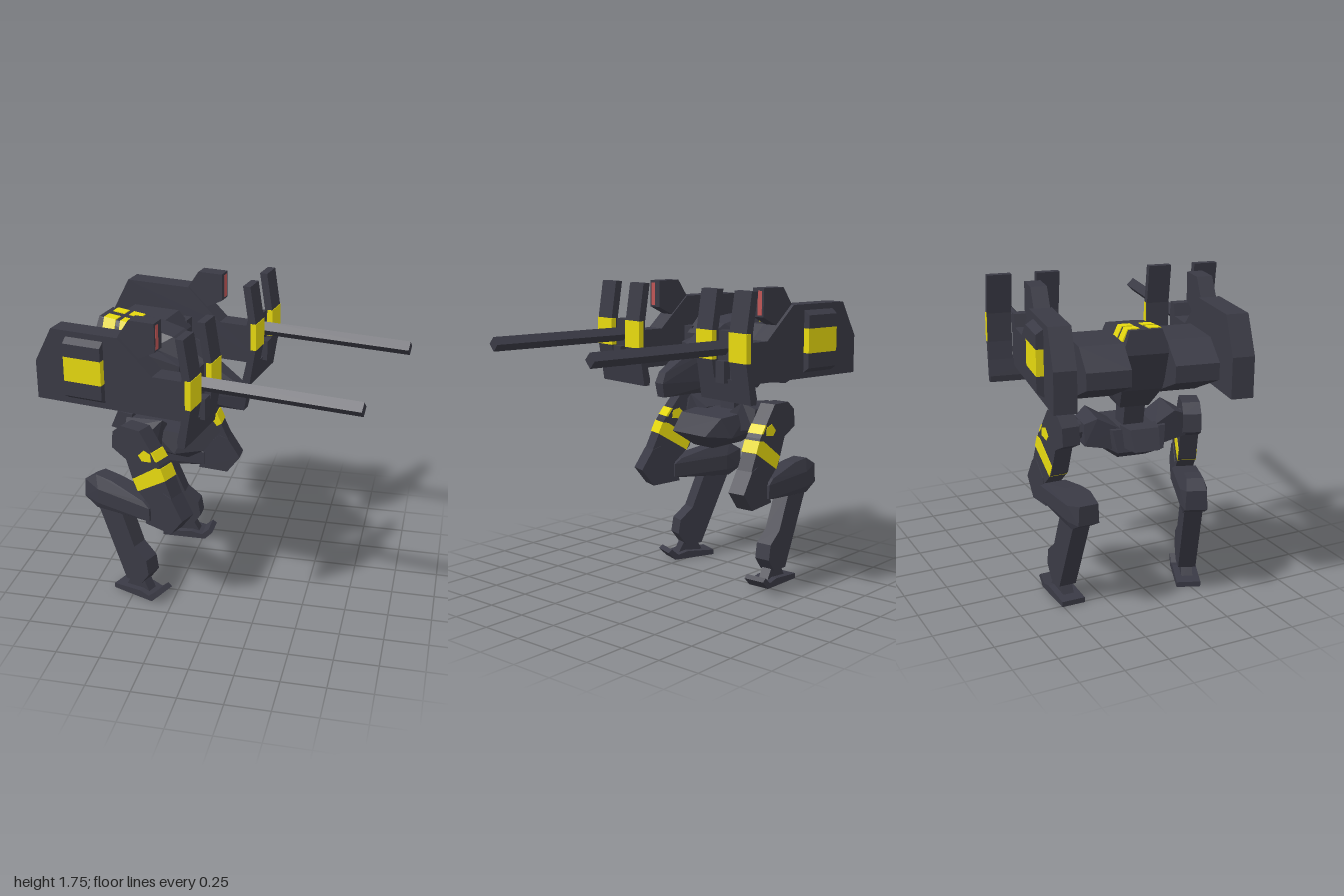
import * as THREE from 'three';
import { ConvexGeometry } from 'three/addons/geometries/ConvexGeometry.js';

const mat = (name, color) => {
  const m = new THREE.MeshStandardMaterial({ color });
  m.name = name;
  return m;
};

export function createModel() {
  const dark = mat('dark armour', 0x3a3a45);
  const yellow = mat('yellow marking', 0xf2e410);
  const red = mat('red lens', 0xc05555);

  const add = (parent, name, geo, material = dark) => {
    const m = new THREE.Mesh(geo, material);
    m.name = name;
    parent.add(m);
    return m;
  };
  const group = (parent, name, x = 0, z = 0, yaw = 0) => {
    const g = new THREE.Group();
    g.name = name;
    g.position.set(x, 0, z);
    g.rotation.y = -yaw;
    parent.add(g);
    return g;
  };
  // Side profile [forward, up] extruded sideways between z0 and z1
  const prism = (parent, name, pts, z0, z1, material) => {
    const shape = new THREE.Shape(pts.map(p => new THREE.Vector2(p[0], p[1])));
    const geo = new THREE.ExtrudeGeometry(shape, { depth: Math.abs(z1 - z0), bevelEnabled: false });
    geo.translate(0, 0, Math.min(z0, z1));
    return add(parent, name, geo, material);
  };
  const box = (parent, name, x0, x1, y0, y1, z0, z1, material) =>
    prism(parent, name, [[x0, y0], [x1, y0], [x1, y1], [x0, y1]], z0, z1, material);
  // Faceted solid around corner points
  const solid = (parent, name, pts, material) =>
    add(parent, name, new ConvexGeometry(pts.map(p => new THREE.Vector3(...p))), material);
  // Same, with corners mirrored across the centre plane
  const solidSym = (parent, name, pts) =>
    solid(parent, name, pts.flatMap(([x, y, z]) => [[x, y, z], [x, y, -z]]));
  // Flat-sided rod along y
  const rod = (parent, name, r, length, sides) => {
    const geo = new THREE.CylinderGeometry(r, r, length, sides).toNonIndexed();
    geo.computeVertexNormals();
    return add(parent, name, geo);
  };

  const model = new THREE.Group();
  model.name = 'walker';

  // ---------- upper body, turned slightly ----------
  const upper = group(model, 'upperBody', 0, 0, 0.175);
  solidSym(upper, 'rearHull', [
    [-0.76, 1.585, 0.085], [-0.45, 1.555, 0.085], [-0.78, 1.46, 0.13], [-0.4, 1.46, 0.13],
    [-0.7, 1.25, 0.11], [-0.57, 1.12, 0.08], [-0.38, 1.12, 0.08], [-0.36, 1.25, 0.13]]);
  solidSym(upper, 'nose', [
    [-0.45, 1.555, 0.085], [-0.3, 1.52, 0.08], [-0.4, 1.46, 0.13], [-0.36, 1.2, 0.13],
    [0.1, 1.26, 0.03], [0.125, 1.2, 0.035], [0.11, 1.12, 0.03], [-0.15, 1.13, 0.06]]);

  for (const s of [1, -1]) {
    // roof markings folding over the hull edge
    for (const u of [-0.69, -0.588])
      solid(upper, 'roofMarking', [u - 0.037, u + 0.037].flatMap(x => {
        const y = 1.585 - 0.097 * (x + 0.76);
        return [[x, y + 0.005, s * 0.025], [x, y - 0.01, s * 0.025], [x, y + 0.005, s * 0.088],
          [x, y - 0.06, s * 0.117], [x, y - 0.06, s * 0.09]];
      }), yellow);

    const side = group(upper, s > 0 ? 'rightArm' : 'leftArm');

    // shoulder, cheek and chin sensor
    solid(side, 'shoulder', [0.115, 0.35].flatMap(w => [
      [-0.89, 1.33, s * w], [-0.89, 1.42, s * w], [-0.75, 1.52, s * w],
      [-0.46, 1.52, s * w], [-0.38, 1.43, s * w], [-0.38, 1.2, s * w], [-0.54, 1.18, s * w]]));
    solid(side, 'cheek', [
      [-0.42, 1.45, s * 0.1], [-0.42, 1.45, s * 0.22], [-0.42, 1.18, s * 0.1], [-0.42, 1.18, s * 0.22],
      [-0.21, 1.4, s * 0.2], [-0.21, 1.22, s * 0.2], [-0.2, 1.38, s * 0.06], [-0.2, 1.2, s * 0.06]]);
    const sensor = rod(side, 'chinSensor', 0.06, 0.12, 8);
    sensor.rotation.x = Math.PI / 2;
    sensor.position.set(-0.235, 1.185, s * 0.13);
    box(side, 'armJoint', -0.62, -0.4, 1.27, 1.47, s * 0.33, s * 0.42);

    // weapon pod
    prism(side, 'weaponPod', [[-0.925, 1.23], [0, 1.23], [0.03, 1.26], [0.03, 1.53], [-0.03, 1.53],
      [-0.05, 1.46], [-0.22, 1.46], [-0.42, 1.65], [-0.82, 1.65], [-0.925, 1.45]], s * 0.405, s * 0.525);
    prism(side, 'podFin', [[-0.46, 1.6], [-0.36, 1.45], [-0.25, 1.45], [-0.31, 1.54], [-0.21, 1.59],
      [-0.21, 1.75], [-0.36, 1.75]], s * 0.415, s * 0.503);
    box(side, 'redLens', -0.215, -0.2085, 1.6, 1.735, s * 0.456, s * 0.489, red);

    // bulging side hatch with painted band
    box(side, 'hatchBand', -0.73, -0.505, 1.375, 1.515, s * 0.52, s * 0.565, yellow);
    for (const [name, edge, bevel, end] of [['hatchTop', 1.515, 1.59, 1.62], ['hatchBottom', 1.375, 1.29, 1.26]])
      solid(side, name, [-0.73, -0.505].flatMap(u => [
        [u, edge, s * 0.52], [u, edge, s * 0.565], [u, bevel, s * 0.565], [u, end, s * 0.52]]));

    // four-sided barrel standing on its edge
    const barrel = rod(side, 'barrel', 0.041, 0.915, 4);
    barrel.rotation.z = -Math.PI / 2;
    barrel.position.set(0.4675, 1.44, s * 0.462);
    box(side, 'barrelMount', 0, 0.075, 1.25, 1.37, s * 0.43, s * 0.5);

    // bent fork shield: two prongs joined below the barrel
    for (const [w0, w1] of [[0.26, 0.39], [0.53, 0.665]]) {
      prism(side, 'shieldProng', [[-0.015, 1.75], [0.02, 1.53], [0.02, 1.37], [0.005, 1.27], [0.048, 1.27],
        [0.065, 1.37], [0.065, 1.53], [0.03, 1.75]], s * w0, s * w1);
      box(side, 'shieldMarking', 0.035, 0.068, 1.37, 1.53, s * (w0 - 0.003), s * (w1 + 0.003), yellow);
    }
    prism(side, 'shieldBase', [[0.005, 1.27], [-0.015, 1.18], [-0.01, 1.145], [0.028, 1.145], [0.048, 1.27]],
      s * 0.26, s * 0.665);
  }

  // ---------- pelvis ----------
  const pelvis = group(model, 'pelvis', -0.455, -0.06, 0.125);
  prism(pelvis, 'neck', [[-0.05, 0.95], [0.06, 0.95], [0.05, 1.18], [-0.1, 1.18]], -0.07, 0.045);
  solidSym(pelvis, 'pelvisBlock', [
    [0.36, 0.88, 0.14], [0.26, 0.98, 0.17], [0.2, 0.86, 0.2], [0.24, 0.79, 0.08], [0.05, 1.0, 0.19],
    [-0.12, 1.0, 0.15], [-0.15, 0.88, 0.13], [0, 0.8, 0.08]]);
  solidSym(pelvis, 'pelvisRear', [
    [-0.1, 1.02, 0.1], [-0.2, 1.02, 0.08], [-0.25, 0.91, 0.07], [-0.1, 0.9, 0.1]]);
  for (const s of [1, -1]) {
    solid(pelvis, 'hipWing', [
      [-0.1, 1.0, s * 0.1], [0.12, 1.0, s * 0.1], [-0.1, 0.88, s * 0.1], [0.12, 0.88, s * 0.1],
      [-0.08, 1.06, s * 0.22], [0.14, 1.07, s * 0.22], [-0.07, 0.91, s * 0.29], [0.12, 0.91, s * 0.29],
      [-0.06, 1.03, s * 0.29], [0.1, 1.03, s * 0.29]]);
    const axle = rod(pelvis, 'hipAxle', 0.055, 0.12, 8);
    axle.rotation.x = Math.PI / 2;
    axle.position.set(0.02, 0.98, s * 0.31);
  }

  // ---------- legs ----------
  const leg = (name, x, z, yaw) => {
    const g = group(model, name, x, z, yaw);
    prism(g, 'thigh', [[-0.1, 0.93], [-0.09, 1.03], [-0.03, 1.08], [0.1, 1.08], [0.235, 0.9], [0.315, 0.72],
      [0.17, 0.62], [0.06, 0.72], [0, 0.88]], -0.05, 0.05);
    prism(g, 'knee', [[0.17, 0.66], [0.26, 0.74], [0.315, 0.72], [0.39, 0.6], [0.31, 0.495], [0.13, 0.51]],
      -0.055, 0.055);
    // painted band round the thigh, side patch and front patch
    prism(g, 'thighBand', [[0.045, 0.77], [0.08, 0.7], [0.276, 0.82], [0.246, 0.887], [0.205, 0.88]],
      -0.053, 0.053, yellow);
    prism(g, 'thighPatch', [[0.09, 0.93], [0.115, 0.9], [0.18, 0.91], [0.175, 0.955], [0.13, 0.97]],
      -0.053, 0.053, yellow);
    prism(g, 'thighFrontPatch', [[0.175, 0.97], [0.208, 0.92], [0.222, 0.923], [0.188, 0.97]],
      -0.051, 0.051, yellow);
    // hock link with bevelled upper and lower edges
    solidSym(g, 'hockLink', [
      [-0.31, 0.67, 0.055], [-0.235, 0.715, 0.045], [-0.12, 0.705, 0.045], [0.12, 0.65, 0.06],
      [0.17, 0.62, 0.07], [0.17, 0.54, 0.07], [0.12, 0.53, 0.06], [-0.22, 0.51, 0.06], [-0.31, 0.56, 0.06],
      [-0.2, 0.64, 0.075], [-0.2, 0.55, 0.075]]);
    prism(g, 'shin', [[-0.225, 0.53], [-0.06, 0.55], [0.035, 0.32], [0.12, 0.25], [0.135, 0.16],
      [0.08, 0.085], [-0.03, 0.085]], -0.05, 0.05);
    prism(g, 'ankle', [[-0.05, 0.02], [0.13, 0.02], [0.08, 0.11], [0, 0.11]], -0.032, 0.032);
    prism(g, 'foot', [[-0.11, 0], [0.165, 0], [0.215, 0.05], [0.19, 0.07], [0.145, 0.03], [0.08, 0.045],
      [-0.11, 0.03]], -0.068, 0.068);
  };
  leg('rightLeg', -0.5, 0.28, 0.38);
  leg('leftLeg', -0.4, -0.438, 0);

  return model;
}
